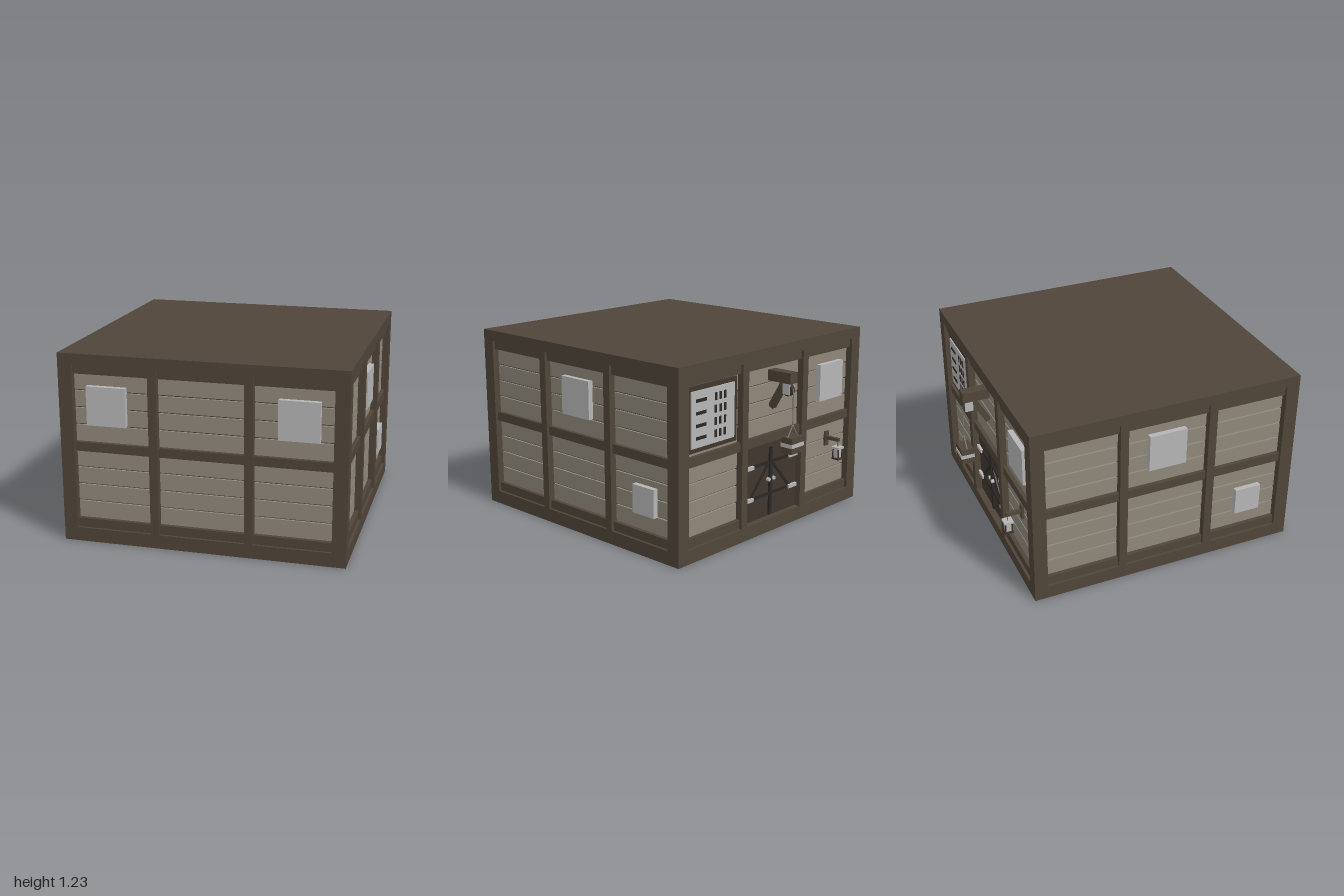
import * as THREE from 'three';

const mat = (name, color) => {
  const m = new THREE.MeshStandardMaterial({ color });
  m.name = name;
  return m;
};

export function createModel() {
  const timber = mat('dark timber', 0x4f4539);
  const plankWood = mat('plank wood', 0x90877a);
  const paleGrey = mat('pale grey', 0xb5b5b5);
  const doorWood = mat('door wood', 0x40362e);
  const iron = mat('dark iron', 0x2b2825);
  const ropeMat = mat('rope', 0x7a766e);

  const model = new THREE.Group();
  model.name = 'timberBlockHouse';

  const add = (parent, name, geo, material, x = 0, y = 0, z = 0) => {
    const mesh = new THREE.Mesh(geo, material);
    mesh.name = name;
    mesh.position.set(x, y, z);
    parent.add(mesh);
    return mesh;
  };
  // Box given by its limits on each axis
  const block = (parent, name, material, x0, x1, y0, y1, z0, z1) =>
    add(parent, name, new THREE.BoxGeometry(x1 - x0, y1 - y0, z1 - z0), material,
      (x0 + x1) / 2, (y0 + y1) / 2, (z0 + z1) / 2);
  // Straight bar between two points, square or round
  const bar = (parent, name, material, a, b, w, d = 0) => {
    const from = new THREE.Vector3(...a), to = new THREE.Vector3(...b);
    const len = from.distanceTo(to);
    const geo = d ? new THREE.BoxGeometry(w, len, d) : new THREE.CylinderGeometry(w, w, len, 8);
    const mesh = add(parent, name, geo, material);
    mesh.position.copy(from).add(to).multiplyScalar(0.5);
    mesh.quaternion.setFromUnitVectors(new THREE.Vector3(0, 1, 0), to.sub(from).normalize());
    return mesh;
  };

  // Solid core, whose sides show in the gaps between planks
  block(model, 'core', timber, -0.85, 0.85, 0, 1.23, -0.76, 0.94);

  // Wall frame with three tall openings
  const bays = [[-0.82, -0.33], [-0.275, 0.275], [0.33, 0.82]];
  const rect = (path, x0, x1, y0, y1) =>
    path.moveTo(x0, y0).lineTo(x1, y0).lineTo(x1, y1).lineTo(x0, y1).closePath();
  const frameShape = new THREE.Shape();
  rect(frameShape, -0.91, 0.91, 0, 1.23);
  for (const [x0, x1] of bays) {
    const hole = new THREE.Path();
    rect(hole, x0, x1, 0.09, 1.16);
    frameShape.holes.push(hole);
  }
  const frameGeo = new THREE.ExtrudeGeometry(frameShape, { depth: 0.06, bevelEnabled: false });

  // Each wall is built facing +z around the house centre, then turned
  const makeWall = (name, turn, hasDoor = false) => {
    const wall = new THREE.Group();
    wall.name = name;
    wall.position.z = 0.09;
    wall.rotation.y = turn;
    model.add(wall);
    add(wall, 'wallFrame', frameGeo, timber, 0, 0, 0.85);
    bays.forEach(([x0, x1], bay) => {
      const door = hasDoor && bay === 1;
      for (const y of door ? [0.6, 1.1] : [0.09, 0.6, 1.1])
        block(wall, 'crossBeam', timber, x0, x1, y, y + 0.06, 0.85, 0.892);
      for (const [y0, y1] of door ? [[0.66, 1.1]] : [[0.15, 0.6], [0.66, 1.1]]) {
        const step = (y1 - y0) / 4;
        for (let i = 0; i < 4; i++)
          block(wall, 'plank', plankWood, x0, x1, y0 + i * step + (i ? 0.005 : 0),
            y0 + (i + 1) * step - (i < 3 ? 0.005 : 0), 0.845, 0.865);
      }
    });
    return wall;
  };
  const shutter = (wall, x, y, w, h) =>
    block(wall, 'windowPanel', paleGrey, x - w / 2, x + w / 2, y - h / 2, y + h / 2, 0.86, 0.9);

  const front = makeWall('frontWall', 0);
  for (const s of [-1, 1]) shutter(front, s * 0.607, 0.9, 0.255, 0.25);
  for (const [name, turn] of [['leftWall', Math.PI / 2], ['rightWall', -Math.PI / 2]]) {
    const side = makeWall(name, turn);
    shutter(side, 0, 0.9, 0.255, 0.25);
    shutter(side, 0.602, 0.352, 0.182, 0.185);
  }
  const back = makeWall('backWall', Math.PI, true);
  shutter(back, 0.607, 0.9, 0.255, 0.25);

  // Double door with braces, straps and hinges
  const door = new THREE.Group();
  door.name = 'doubleDoor';
  back.add(door);
  block(door, 'doorPanel', doorWood, -0.275, 0.275, 0.09, 0.6, 0.845, 0.866);
  block(door, 'doorMiddleStrip', iron, -0.012, 0.012, 0.1, 0.56, 0.866, 0.88);
  for (const s of [-1, 1]) {
    for (const y of [0.245, 0.46]) {
      block(door, 'doorStrap', iron, Math.min(0, s * 0.26), Math.max(0, s * 0.26),
        y - 0.01, y + 0.01, 0.866, 0.875);
      add(door, 'hinge', new THREE.BoxGeometry(0.085, 0.024, 0.018), paleGrey, s * 0.225, y, 0.878);
    }
    bar(door, 'doorBrace', iron, [s * 0.2, 0.25, 0.868], [s * 0.02, 0.455, 0.868], 0.018, 0.012);
    const knob = add(door, 'doorHandle', new THREE.CylinderGeometry(0.013, 0.013, 0.02, 10),
      paleGrey, s * 0.025, 0.345, 0.878);
    knob.rotation.x = Math.PI / 2;
  }

  // Tally board
  const board = new THREE.Group();
  board.name = 'tallyBoard';
  back.add(board);
  block(board, 'boardBacking', doorWood, -0.805, -0.355, 0.68, 1.09, 0.86, 0.88);
  block(board, 'boardFace', paleGrey, -0.775, -0.385, 0.71, 1.06, 0.87, 0.888);
  for (let row = 0; row < 4; row++) {
    const y = 1.0 - row * 0.077;
    block(board, 'dashMark', iron, -0.735, -0.645, y - 0.01, y + 0.01, 0.886, 0.892);
    for (let col = 0; col < 3; col++) {
      const x = -0.56 + col * 0.042;
      block(board, 'tallyMark', iron, x - 0.009, x + 0.009, y - 0.024, y + 0.024, 0.886, 0.892);
    }
  }

  // Hoist: arm, brace, pulley, rope and hanging crate
  const hoist = new THREE.Group();
  hoist.name = 'hoist';
  back.add(hoist);
  block(hoist, 'hoistArm', timber, -0.035, 0.035, 1.005, 1.075, 0.86, 1.045);
  bar(hoist, 'hoistBrace', timber, [0, 0.83, 0.875], [0, 1.02, 0.985], 0.04, 0.04);
  for (const s of [-1, 1])
    add(hoist, 'pulleyPlate', new THREE.BoxGeometry(0.008, 0.08, 0.055), paleGrey, s * 0.022, 0.972, 1.003);
  const wheel = add(hoist, 'pulleyWheel', new THREE.CylinderGeometry(0.04, 0.04, 0.03, 20),
    doorWood, 0, 0.96, 1.003);
  wheel.rotation.z = Math.PI / 2;
  bar(hoist, 'hoistRope', ropeMat, [0, 0.97, 1.043], [0, 0.73, 1.045], 0.004);
  for (const s of [-1, 1])
    bar(hoist, 'crateSling', ropeMat, [0, 0.735, 1.045], [s * 0.052, 0.66, 1.045], 0.004);
  add(hoist, 'ropeKnot', new THREE.SphereGeometry(0.008, 10, 8), ropeMat, 0, 0.732, 1.045);
  block(hoist, 'crate', timber, -0.06, 0.06, 0.56, 0.665, 1.004, 1.086);
  block(hoist, 'crateBand', paleGrey, -0.063, 0.063, 0.6, 0.625, 1.0, 1.09);

  // Hanging lantern on a bracket
  const lantern = new THREE.Group();
  lantern.name = 'lantern';
  lantern.position.set(0.61, 0, 0.97);
  back.add(lantern);
  block(lantern, 'lanternWallPlate', timber, -0.02, 0.02, 0.44, 0.54, -0.11, -0.09);
  block(lantern, 'lanternArm', timber, -0.012, 0.012, 0.485, 0.507, -0.11, 0.01);
  bar(lantern, 'lanternHook', ropeMat, [0, 0.445, 0], [0, 0.49, 0], 0.004);
  block(lantern, 'lanternCap', paleGrey, -0.031, 0.031, 0.435, 0.449, -0.031, 0.031);
  block(lantern, 'lanternBase', doorWood, -0.028, 0.028, 0.36, 0.372, -0.028, 0.028);
  block(lantern, 'lanternGlass', paleGrey, -0.017, 0.017, 0.37, 0.437, -0.017, 0.017);
  for (const sx of [-1, 1]) for (const sz of [-1, 1])
    add(lantern, 'lanternPost', new THREE.BoxGeometry(0.007, 0.065, 0.007), doorWood,
      sx * 0.022, 0.404, sz * 0.022);

  return model;
}
